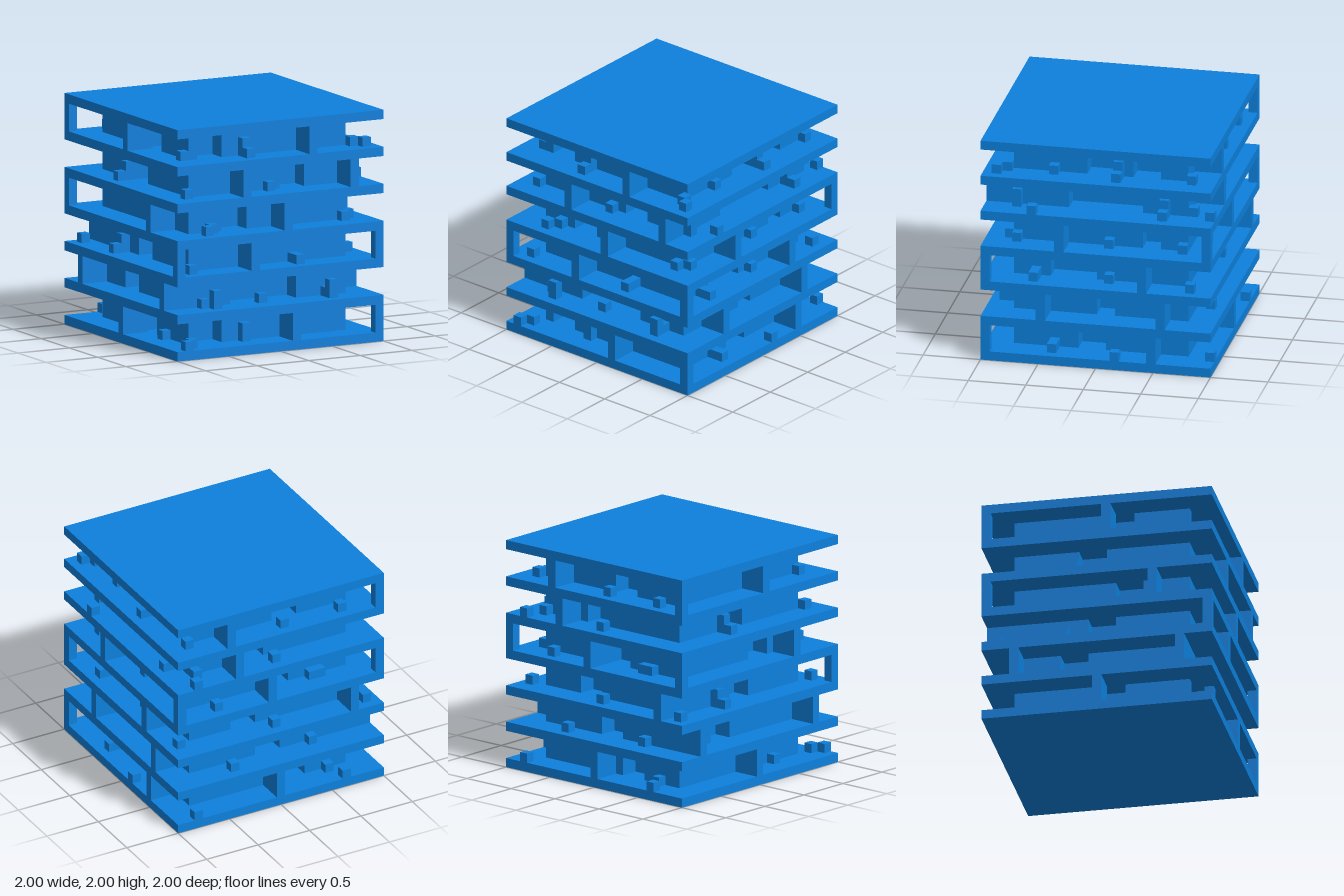
import * as THREE from 'three';

const U = 0.08;                 // one grid cell; the tower is 25 x 25 x 25 cells
const at = (i) => -1 + U * i;   // grid line -> coordinate
const LO = 3, HI = 22;          // extent of the recessed core

// Cell (x, z) lying t cells along a side and d cells out from the core
const sides = {
  front: (t, d) => [t, HI + d],
  right: (t, d) => [HI + d, t],
  back: (t, d) => [t, LO - 1 - d],
  west: (t, d) => [LO - 1 - d, t],
};

// Positions along each side, per storey. A fin at cell 0 or 24 is a corner post.
// Low blocks stand in the inner, mid or edge row of the terrace.
const storeys = [
  { fins: { front: [14, 24], right: [6], back: [12], west: [12] },
    niches: { front: [[4, 3]], right: [[12, 3]] },
    inner: { right: [17, 0], back: [5], west: [17] },
    mid: { front: [2], right: [17] },
    edge: { front: [1], right: [10], back: [4] },
    tall: { front: [9] } },
  { fins: { right: [5, 18], west: [3, 21] },
    niches: { front: [[8, 8]], right: [[11, 2]] },
    inner: { front: [4, 11, 19], back: [7] },
    mid: { back: [17] },
    tall: { front: [5, 19] }, tallRow: 1 },
  { fins: { front: [0, 9, 24], right: [7], back: [3] },
    niches: { right: [[13, 5]] },
    inner: { front: [15], right: [19, 11] },
    mid: { front: [2, 15], right: [19, 2], back: [12, 1], west: [8] },
    tall: { west: [8] } },
  { fins: { front: [13], right: [16], back: [0, 13, 24], west: [18] },
    niches: { front: [[7, 3]], right: [[6, 2]] },
    inner: { front: [5, 21], right: [21, 11, 3], back: [7, 6] },
    mid: { front: [4], back: [19] } },
  { fins: { front: [8, 21], back: [17] },
    niches: { front: [[14, 3]], right: [[8, 8]] },
    inner: { front: [12, 2], right: [0], back: [21] },
    mid: { right: [5], back: [12], west: [9] },
    edge: { right: [19] },
    tall: { right: [21, 5], west: [9] } },
  { fins: { front: [16], back: [0, 18], west: [13] },
    niches: { front: [[4, 3]], right: [[6, 3], [11, 3]] },
    inner: { right: [22, 17, 2], west: [21] },
    mid: { front: [9, 23], right: [10], back: [11, 4] },
    tall: { front: [9], right: [10] } },
];

export function createModel() {
  const model = new THREE.Group();
  const material = new THREE.MeshStandardMaterial({ color: 0x0d80dc, flatShading: true });

  // Box from grid cell (x, y, z) spanning w x h x d cells
  function block(parent, name, x, y, z, w, h, d) {
    const mesh = new THREE.Mesh(new THREE.BoxGeometry(w * U, h * U, d * U), material);
    mesh.position.set(at(x + w / 2), (y + h / 2) * U, at(z + d / 2));
    mesh.name = name;
    parent.add(mesh);
  }

  // Terrace blocks of one height and row
  function terrace(parent, y, row, height, list = {}) {
    for (const side in list) {
      for (const t of list[side]) {
        const [x, z] = sides[side](t, row);
        block(parent, 'terraceBlock', x, y, z, 1, height, 1);
      }
    }
  }

  // Recessed core: a square plan with niches two cells deep in its sides
  function core(parent, y, niches) {
    const outline = [
      [niches.front, 1, (t, d) => [t, HI - d]],
      [niches.right, -1, (t, d) => [HI - d, t]],
      [niches.back, -1, (t, d) => [t, LO + d]],
      [niches.west, 1, (t, d) => [LO + d, t]],
    ];
    const points = [];
    for (const [list = [], direction, place] of outline) {
      const run = [[direction > 0 ? LO : HI, 0]];
      for (const [start, width] of [...list].sort((a, b) => direction * (a[0] - b[0]))) {
        const ends = [start, start + width];
        const [s, e] = direction > 0 ? ends : ends.reverse();
        run.push([s, 0], [s, 2], [e, 2], [e, 0]);
      }
      for (const [t, d] of run) {
        const [x, z] = place(t, d);
        points.push(new THREE.Vector2(at(x), -at(z)));
      }
    }
    const geometry = new THREE.ExtrudeGeometry(new THREE.Shape(points),
      { depth: 3 * U, bevelEnabled: false });
    geometry.rotateX(-Math.PI / 2);
    const mesh = new THREE.Mesh(geometry, material);
    mesh.position.y = y * U;
    mesh.name = 'core';
    parent.add(mesh);
  }

  // Seven floor slabs
  for (let k = 0; k <= 6; k++) block(model, 'slab', 0, 4 * k, 0, 25, 1, 25);

  storeys.forEach((s, k) => {
    const storey = new THREE.Group();
    storey.name = `storey${k + 1}`;
    const y = 4 * k + 1;

    // The far sides have one niche each, shifting from storey to storey
    const back = [[8 + (3 * k) % 7, 3]];
    const west = [[8 + (3 * k + 4) % 7, 3]];
    core(storey, y, { ...s.niches, back, west });

    // Fin walls reach from the core to the slab edge; corner posts stand alone
    for (const side in s.fins) {
      for (const t of s.fins[side]) {
        if (t === 0 || t === 24) {
          const [x, z] = sides[side](t, 2);
          block(storey, 'cornerPost', x, y, z, 1, 3, 1);
        } else {
          const [x, z] = sides[side](t, side === 'back' || side === 'west' ? 2 : 0);
          const across = side === 'front' || side === 'back';
          block(storey, 'fin', x, y, z, across ? 1 : 3, 3, across ? 3 : 1);
        }
      }
    }

    // Small blocks standing on the terrace
    terrace(storey, y, 0, 1, s.inner);
    terrace(storey, y, 1, 1, s.mid);
    terrace(storey, y, 2, 1, s.edge);
    terrace(storey, y, s.tallRow ?? 0, 2, s.tall);
    model.add(storey);
  });
  return model;
}
